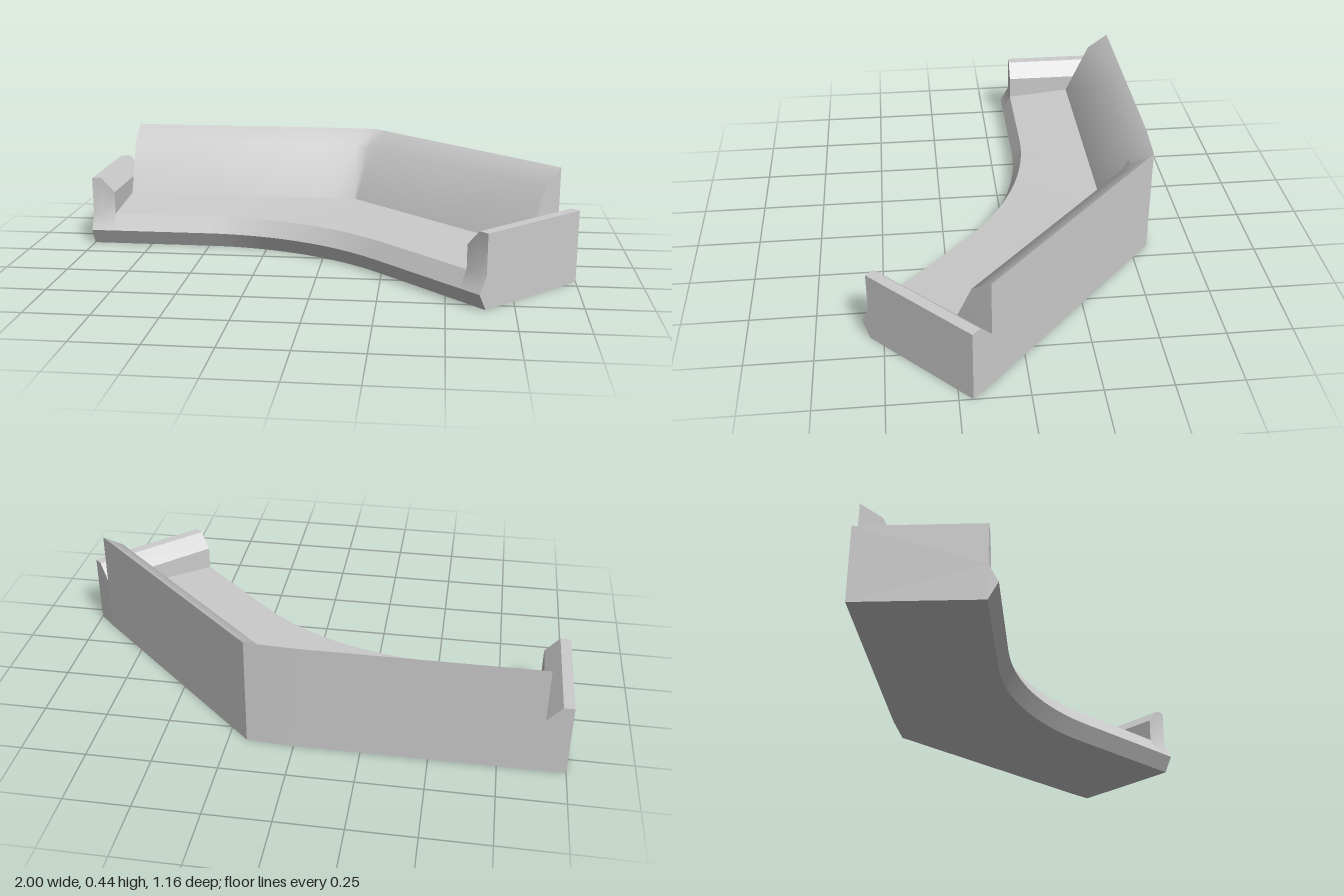
import * as THREE from 'three';
import { toCreasedNormals } from 'three/addons/utils/BufferGeometryUtils.js';

const BEND = THREE.MathUtils.degToRad(43.5);
const lerp = THREE.MathUtils.lerp;

// A station is one slice across the sofa: front and back points [x, z],
// each with its inward direction [x, z].
const station = (front, frontIn, back, backIn) => ({ front, frontIn, back, backIn });
const mix = (a, b, t) => {
  const m = (k) => a[k].map((v, i) => lerp(v, b[k][i], t));
  return station(m('front'), m('frontIn'), m('back'), m('backIn'));
};
const at = (p, dir, d, y) => new THREE.Vector3(p[0] + dir[0] * d, y, p[1] + dir[1] * d);

// Pointed front edge shared by the seat and the arms
const frontEdge = (s) => [
  at(s.front, s.frontIn, 0.035, 0),
  at(s.front, s.frontIn, 0, 0.065),
  at(s.front, s.frontIn, 0.035, 0.13),
];
const seatRing = (s) => [
  ...frontEdge(s),
  at(s.back, s.backIn, 0.185, 0.155),
  at(s.back, s.backIn, 0.085, 0.375),
  at(s.back, s.backIn, 0, 0.435),
  at(s.back, s.backIn, 0, 0),
];
const armRing = (s, top) => [
  ...frontEdge(s),
  at(s.front, s.frontIn, 0.035, top),
  at(s.back, s.backIn, 0, top),
  at(s.back, s.backIn, 0, 0),
];

// Skins a row of rings and closes both ends with a fan around the inner corner
function loft(name, rings, apex) {
  const pos = [];
  const tri = (...points) => points.forEach((p) => pos.push(p.x, p.y, p.z));
  const n = rings[0].length;
  for (let i = 0; i < rings.length - 1; i++) {
    const a = rings[i], b = rings[i + 1];
    for (let j = 0; j < n; j++) {
      const k = (j + 1) % n;
      tri(a[j], b[j], b[k]);
      tri(a[j], b[k], a[k]);
    }
  }
  const first = rings[0], last = rings[rings.length - 1];
  for (let j = 1; j < n - 1; j++) {
    const p = (apex + j) % n, q = (apex + j + 1) % n;
    tri(first[apex], first[p], first[q]);
    tri(last[apex], last[q], last[p]);
  }
  const geometry = new THREE.BufferGeometry();
  geometry.setAttribute('position', new THREE.Float32BufferAttribute(pos, 3));
  const mesh = new THREE.Mesh(
    toCreasedNormals(geometry, 0.6),
    new THREE.MeshStandardMaterial({ color: 0xcccccc })
  );
  mesh.name = name;
  return mesh;
}

export function createModel() {
  const group = new THREE.Group();
  group.name = 'cornerSofa';

  const sin = Math.sin(BEND), cos = Math.cos(BEND);
  const toBack = [0, -1], toFront = [0, 1];
  const turnedBack = [sin, -cos], turnedFront = [-sin, cos];

  // Ends of the sofa and the lines where the arms begin
  const rightEnd = station([-1, -0.09], toBack, [-1, -0.58], toFront);
  const rightJoint = station([-0.905, -0.09], toBack, [-0.905, -0.58], toFront);
  const leftJoint = station([0.55, 0.51], turnedBack, [0.93, 0.13], turnedFront);
  const leftEnd = station([0.62, 0.576], turnedBack, [1, 0.2], turnedFront);

  // Curved front against a mitred back corner
  const steps = 16, half = steps / 2, radius = 1.05;
  const bend = [];
  for (let k = 0; k <= steps; k++) {
    const a = (BEND * k) / steps;
    const front = [-0.5 + radius * Math.sin(a), -0.09 + radius * (1 - Math.cos(a))];
    let back, backIn;
    if (k <= half) {
      const x = lerp(-0.5, 0.18, k / half);
      back = [x, -0.58 + Math.max(0, x) * 0.055];
      backIn = k < half ? toFront : [-Math.tan(BEND / 2), 1];
    } else {
      const t = (k - half) / half;
      back = [lerp(0.18, 0.55, t), lerp(-0.57, -0.225, t)];
      backIn = turnedFront;
    }
    bend.push(station(front, [Math.sin(a), -Math.cos(a)], back, backIn));
  }
  group.add(loft('seatAndBackrest', [rightJoint, ...bend, leftJoint].map(seatRing), 3));

  // Low arms: flat on top, sloping down on the seat side
  const arm = (name, end, joint) => {
    const rings = [
      armRing(end, 0.285),
      armRing(mix(end, joint, 0.42), 0.285),
      armRing(joint, 0.225),
    ];
    if (end.front[0] > joint.front[0]) rings.reverse();
    group.add(loft(name, rings, 2));
  };
  arm('rightArm', rightEnd, rightJoint);
  arm('leftArm', leftEnd, leftJoint);

  return group;
}
